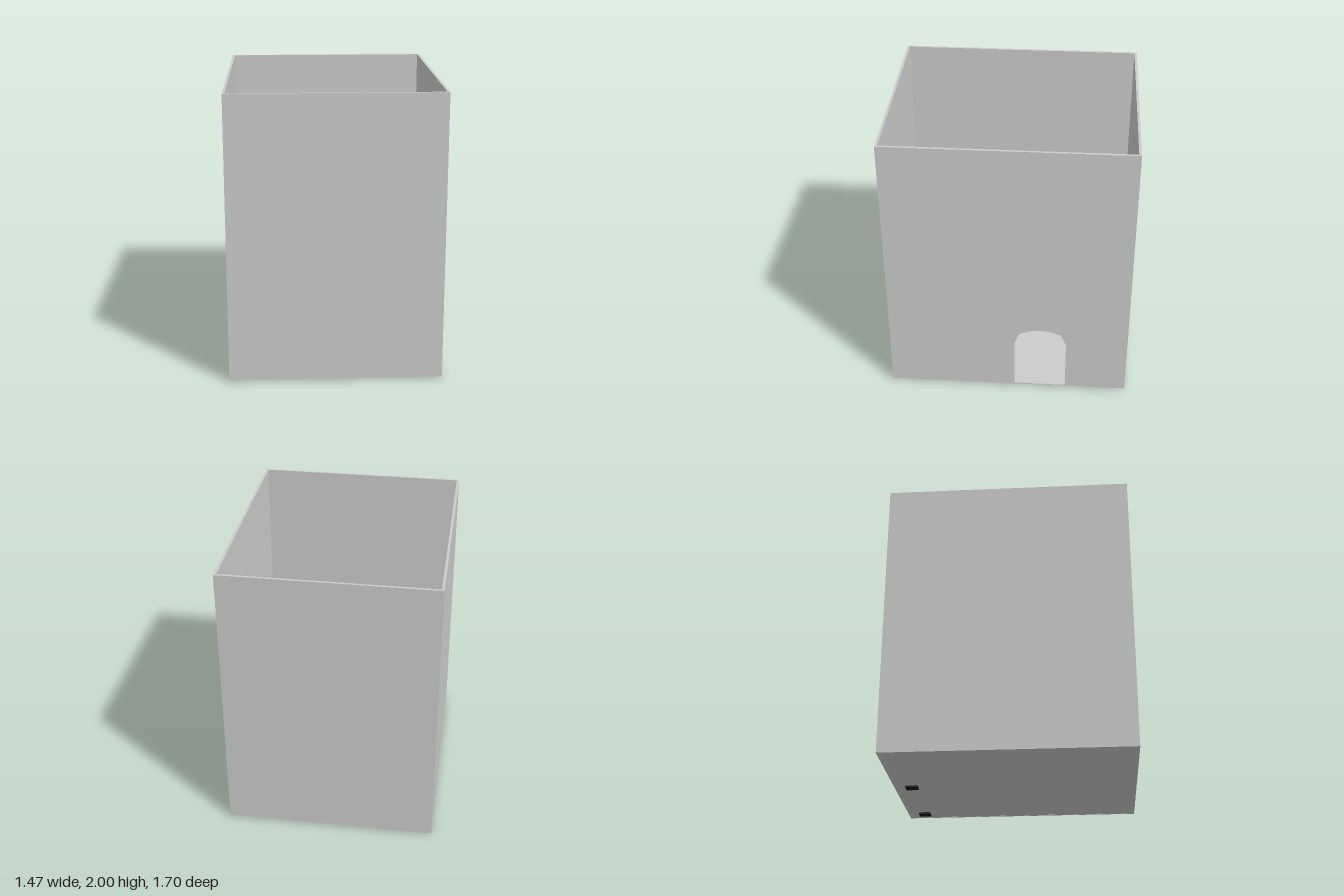
import * as THREE from 'three';
import { RoundedBoxGeometry } from 'three/addons/geometries/RoundedBoxGeometry.js';

const W = 1.466, D = 1.7, TOP = 2, BASE = 0.012, T = 0.017;

const grey = new THREE.MeshStandardMaterial({ color: 0xcccccc });
const blue = new THREE.MeshStandardMaterial({ color: 0x2a35b0 });
const black = new THREE.MeshStandardMaterial({ color: 0x151515 });

function add(parent, name, geometry, material, x = 0, y = 0, z = 0) {
  const mesh = new THREE.Mesh(geometry, material);
  mesh.name = name;
  mesh.position.set(x, y, z);
  parent.add(mesh);
  return mesh;
}

const box = (w, h, d) => new THREE.BoxGeometry(w, h, d);

// Tall open-topped shell with an arched doorway in the +x wall
function createShell() {
  const shell = new THREE.Group();
  shell.name = 'shell';
  const h = TOP - BASE, midY = (TOP + BASE) / 2;
  const innerW = W - 2 * T, innerD = D - 2 * T;

  for (const side of [1, -1]) {
    add(shell, side > 0 ? 'frontWall' : 'backWall', box(innerW, h, T), grey, 0, midY, side * (D - T) / 2);
  }
  add(shell, 'rightWall', box(T, h, D), grey, -(W - T) / 2, midY, 0);

  // The wall outline runs along -z, then is turned to face +x
  const wall = new THREE.Shape();
  wall.moveTo(-D / 2, BASE);
  wall.lineTo(D / 2, BASE);
  wall.lineTo(D / 2, TOP);
  wall.lineTo(-D / 2, TOP);
  wall.closePath();
  const door = [[0.045, 0.02], [0.045, 0.4], [0.08, 0.49], [0.17, 0.525],
    [0.285, 0.525], [0.377, 0.49], [0.415, 0.4], [0.415, 0.02]];
  wall.holes.push(new THREE.Path(door.map(([s, y]) => new THREE.Vector2(s, y))));
  const geometry = new THREE.ExtrudeGeometry(wall, { depth: T, bevelEnabled: false });
  geometry.rotateY(Math.PI / 2);
  add(shell, 'doorWall', geometry, grey, W / 2 - T, 0, 0);

  add(shell, 'floor', box(innerW, 0.008, innerD), grey, 0, 0.017, 0);
  add(shell, 'ceiling', box(innerW, 0.015, innerD), grey, 0, 0.63, 0);
  return shell;
}

// Row of linked seats on a beam with two pedestal feet
function createBench() {
  const bench = new THREE.Group();
  bench.name = 'bench';
  const count = 5, pitch = 0.16, centre = 0.3, z = -0.725;

  for (const x of [centre - 0.32, centre + 0.32]) {
    add(bench, 'footPad', box(0.07, 0.03, 0.085), black, x, 0.015, z);
    add(bench, 'leg', box(0.025, 0.09, 0.03), black, x, 0.07, z);
  }
  add(bench, 'beam', box(count * pitch, 0.02, 0.03), black, centre, 0.11, z);

  for (let i = 0; i < count; i++) {
    const seat = new THREE.Group();
    seat.name = 'seat';
    seat.position.x = centre + (i - (count - 1) / 2) * pitch;
    add(seat, 'seatFrame', box(0.13, 0.01, 0.15), black, 0, 0.122, -0.695);
    add(seat, 'cushion', new RoundedBoxGeometry(0.135, 0.02, 0.16, 2, 0.008), blue, 0, 0.136, -0.695);
    const back = add(seat, 'backrest', new RoundedBoxGeometry(0.135, 0.11, 0.016, 2, 0.007), blue, 0, 0.215, -0.79);
    back.rotation.x = -0.15;
    add(seat, 'backSupport', box(0.03, 0.06, 0.012), black, 0, 0.15, -0.785);
    bench.add(seat);
  }
  return bench;
}

// Upright cabinet standing beside the bench
function createCabinet() {
  const cabinet = new THREE.Group();
  cabinet.name = 'cabinet';
  add(cabinet, 'cabinetBody', box(0.255, 0.44, 0.2), grey, -0.378, 0.233, -0.7);
  add(cabinet, 'cabinetDoor', box(0.225, 0.38, 0.008), grey, -0.378, 0.245, -0.597);
  return cabinet;
}

export function createModel() {
  const model = new THREE.Group();
  model.name = 'waitingRoom';
  model.add(createShell(), createBench(), createCabinet());
  return model;
}
